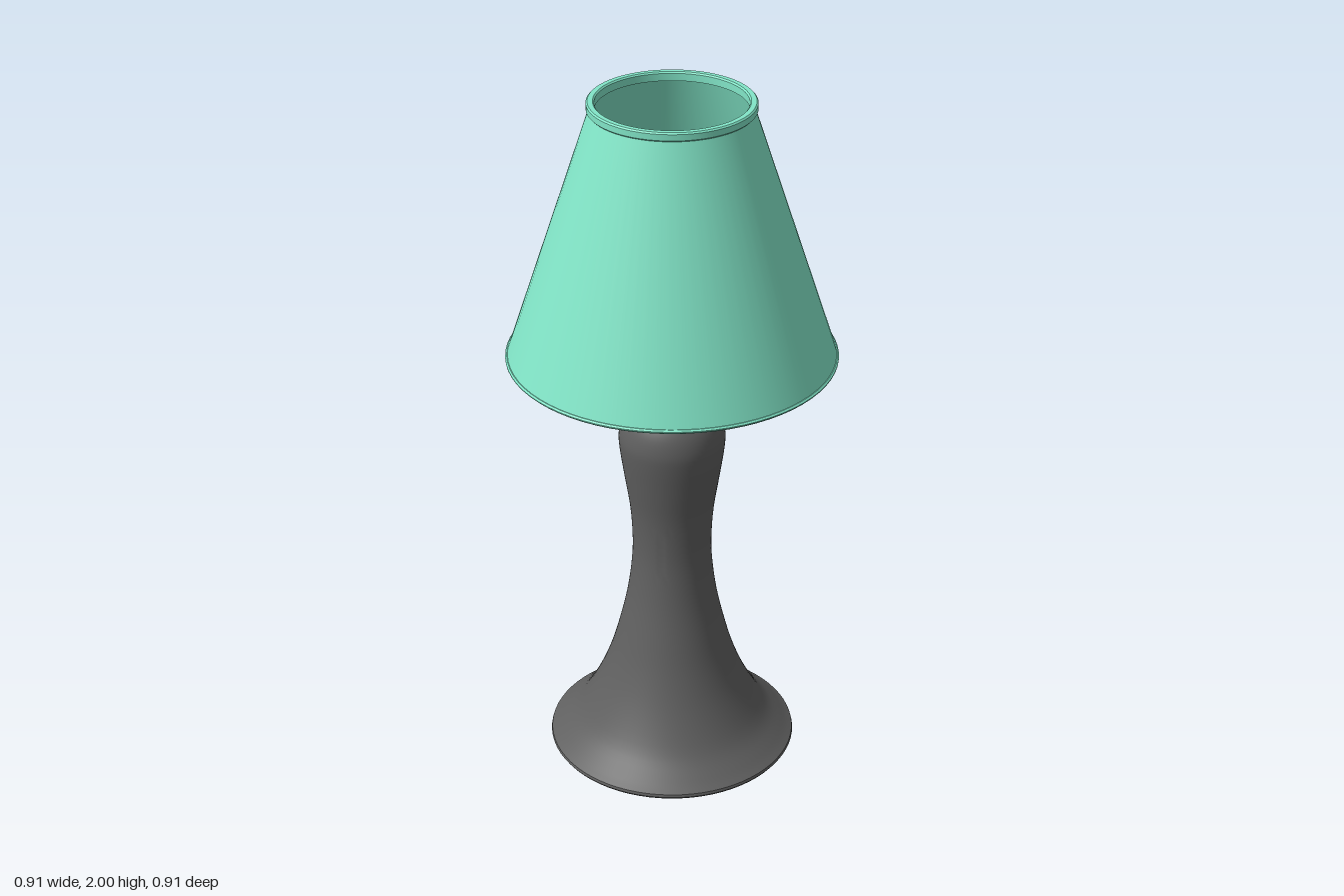
import * as THREE from 'three';
import { toCreasedNormals } from 'three/addons/utils/BufferGeometryUtils.js';

const SEGMENTS = 72;
const vec = ([r, y]) => new THREE.Vector2(r, y);

// Turned part: profile of [radius, height] pairs, running up the outside
function turned(name, points, material) {
  const lathe = new THREE.LatheGeometry(points.map(vec), SEGMENTS);
  const mesh = new THREE.Mesh(toCreasedNormals(lathe, 0.6), material);
  mesh.name = name;
  return mesh;
}

// Smooth run of profile points through a few key points
function smooth(keys, count) {
  return new THREE.SplineCurve(keys.map(vec)).getPoints(count).map((p) => [p.x, p.y]);
}

export function createModel() {
  const lamp = new THREE.Group();
  lamp.name = 'tableLamp';

  const grey = new THREE.MeshStandardMaterial({ color: 0xcccccc });
  const dark = new THREE.MeshStandardMaterial({ color: 0x606060 });
  const green = new THREE.MeshStandardMaterial({ color: 0x82e6c8, side: THREE.DoubleSide });

  // Waisted body flaring into a wide foot, with a domed top
  const body = smooth([
    [0.355, 0.03], [0.325, 0.053], [0.272, 0.105], [0.218, 0.2], [0.178, 0.3], [0.15, 0.4],
    [0.128, 0.5], [0.115, 0.6], [0.112, 0.68], [0.118, 0.78], [0.133, 0.88], [0.146, 0.97],
    [0.148, 1.02], [0.135, 1.07], [0.105, 1.107], [0.06, 1.122], [0, 1.125],
  ], 64);
  body[body.length - 1] = [0, 1.125];
  lamp.add(turned('body', [[0, 0], [0.23, 0], [0.335, 0.008], [0.352, 0.015], [0.357, 0.022], ...body], dark));

  // Rod rising from the body
  const rod = new THREE.Mesh(new THREE.CylinderGeometry(0.034, 0.034, 0.34, 32), grey);
  rod.name = 'rod';
  rod.position.y = 1.27;
  lamp.add(rod);

  // Bulb socket: a flared cup with a recessed floor
  lamp.add(turned('bulbSocket', [
    [0, 1.42], [0.034, 1.42], [0.046, 1.45], [0.046, 1.6], [0.042, 1.607],
    [0.034, 1.607], [0.022, 1.57], [0, 1.57],
  ], grey));

  // Thin-walled conical shade, outside up and inside back down
  lamp.add(turned('shade', [
    [0.443, 1.27], [0.45, 1.27], [0.217, 1.975], [0.208, 1.975], [0.443, 1.27],
  ], green));

  // Narrow bands finishing the top and bottom edges of the shade
  const band = (name, r, width, y0, y1) => {
    const b = 0.004;
    const w = r - width;
    lamp.add(turned(name, [
      [w, y0], [r - b, y0], [r, y0 + b], [r, y1 - b], [r - b, y1], [w + b, y1], [w, y1 - b], [w, y0],
    ], green));
  };
  band('topBand', 0.224, 0.022, 1.975, 2.0);
  band('bottomBand', 0.455, 0.015, 1.263, 1.274);

  return lamp;
}
